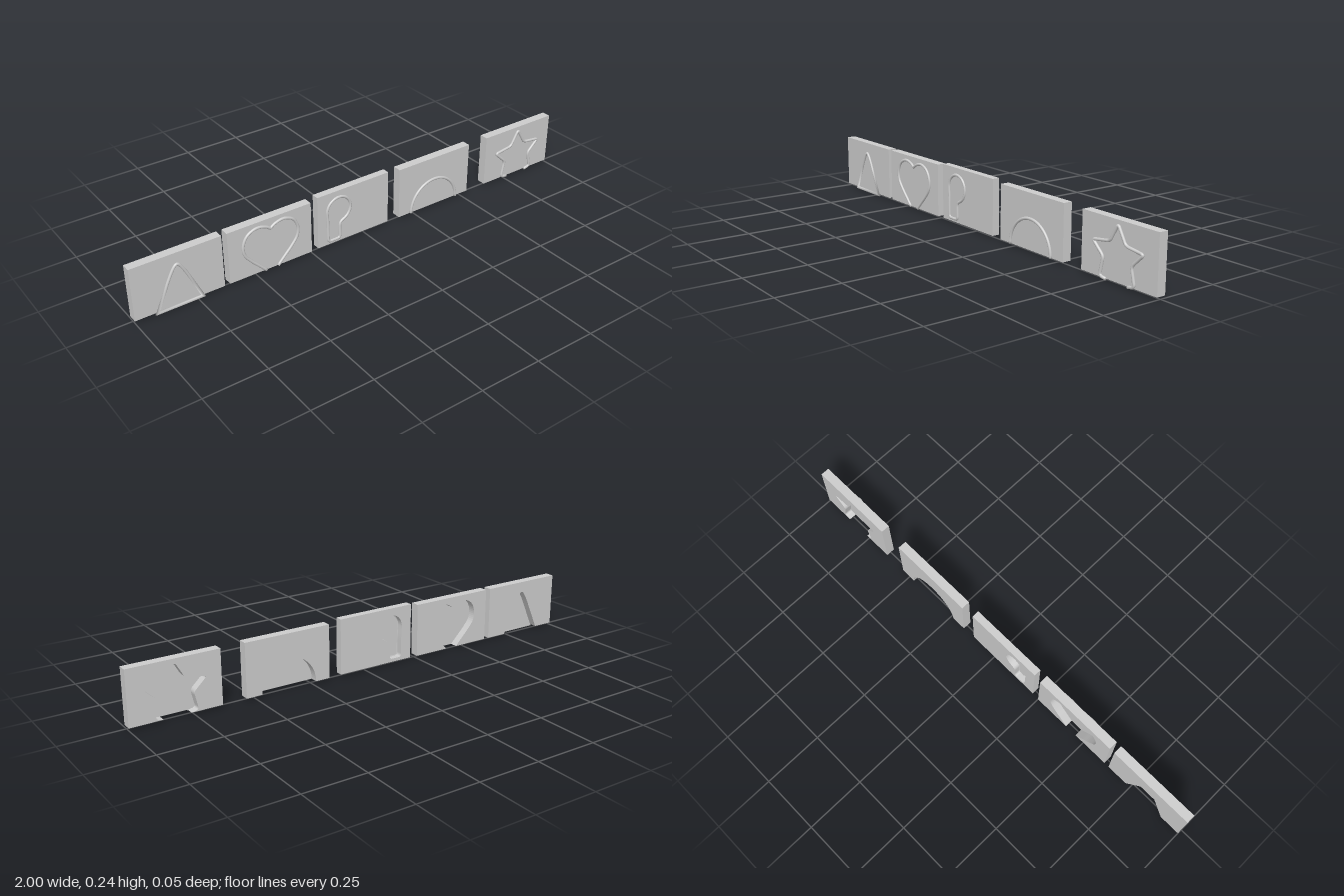
import * as THREE from 'three';

const BASE = 0.009; // bottom edge of the panels
const SKIN = 0.005; // thickness of the closed front face
const TRIM = 0.006; // radius of the raised trim
const material = new THREE.MeshStandardMaterial({ color: 0xcccccc });
const v = (x, y) => new THREE.Vector2(x, y);

// Mirrors a left half outline (last point on the axis) and moves it to x = cx
function mirrored(half, cx) {
  const right = half.filter((p) => p.x < -1e-6).map((p) => v(-p.x, p.y)).reverse();
  return [...half, ...right].map((p) => v(p.x + cx, p.y));
}

// Rounds the inner corners of an open polyline
function rounded(points, radius) {
  const out = [points[0]];
  for (let i = 1; i < points.length - 1; i++) {
    const p = points[i];
    const toward = (q) => {
      const d = q.clone().sub(p);
      return d.multiplyScalar(Math.min(radius, d.length() * 0.45) / d.length()).add(p);
    };
    const bend = new THREE.QuadraticBezierCurve(toward(points[i - 1]), p, toward(points[i + 1]));
    out.push(...bend.getPoints(6));
  }
  out.push(points[points.length - 1]);
  return out;
}

// Sweeps a round section along a flat path, with mitred corners
function trimGeometry(path, z, closed) {
  const sides = 10, n = path.length, pos = [], index = [];
  for (let i = 0; i < n; i++) {
    const p = path[i];
    const prev = path[closed ? (i + n - 1) % n : Math.max(i - 1, 0)];
    const next = path[closed ? (i + 1) % n : Math.min(i + 1, n - 1)];
    const a = p.clone().sub(prev).normalize(), b = next.clone().sub(p).normalize();
    const t = a.clone().add(b).normalize();
    const miter = 1 / Math.max(0.5, Math.max(t.dot(a), t.dot(b)));
    for (let j = 0; j < sides; j++) {
      const ang = (j / sides) * Math.PI * 2, c = Math.cos(ang) * TRIM * miter;
      pos.push(p.x - t.y * c, p.y + t.x * c, z + Math.sin(ang) * TRIM);
    }
  }
  for (let i = 0; i < (closed ? n : n - 1); i++) {
    const r0 = i * sides, r1 = ((i + 1) % n) * sides;
    for (let j = 0; j < sides; j++) {
      const k = (j + 1) % sides;
      index.push(r0 + j, r0 + k, r1 + j, r0 + k, r1 + k, r1 + j);
    }
  }
  if (!closed) {
    const e = (n - 1) * sides;
    for (let j = 1; j < sides - 1; j++) index.push(0, j + 1, j, e, e + j, e + j + 1);
  }
  const g = new THREE.BufferGeometry();
  g.setAttribute('position', new THREE.Float32BufferAttribute(pos, 3));
  g.setIndex(index);
  g.computeVertexNormals();
  return g;
}

// Outlines run from left to right; open ones end on the bottom edge
function triangleOutline() {
  return rounded(mirrored([v(-0.092, BASE), v(-0.026, 0.155), v(0, 0.192)], -0.82), 0.04);
}

function heartOutline() {
  const half = [
    [-0.026, BASE], [-0.058, 0.042], [-0.09, 0.075], [-0.115, 0.11], [-0.119, 0.15],
    [-0.1, 0.188], [-0.06, 0.206], [-0.022, 0.199], [0, 0.185],
  ].map(([x, y]) => new THREE.Vector3(x, y, 0));
  const smooth = new THREE.CatmullRomCurve3(half).getPoints(40).map((p) => v(p.x, p.y));
  return mirrored(smooth, -0.433);
}

function keyholeOutline() {
  const points = [v(-0.145, 0.022), v(-0.173, 0.022), v(-0.173, 0.1)];
  for (let i = 0; i <= 24; i++) {
    const a = Math.PI - (i / 24) * Math.PI * 1.33;
    points.push(v(-0.121 + Math.cos(a) * 0.055, 0.152 + Math.sin(a) * 0.055));
  }
  points.push(v(-0.117, 0.092), v(-0.117, 0.022), v(-0.144, 0.022));
  return rounded(points, 0.015);
}

function archOutline() {
  return Array.from({ length: 41 }, (_, i) => {
    const a = Math.PI * (1 - i / 40);
    return v(0.353 + Math.cos(a) * 0.118, BASE + Math.sin(a) * 0.121);
  });
}

function starOutline() {
  const half = [
    [-0.054, BASE], [-0.084, 0.014], [-0.068, 0.085], [-0.122, 0.136],
    [-0.038, 0.147], [0, 0.214],
  ].map(([x, y]) => v(x, y));
  return rounded(mirrored(half, 0.815), 0.014);
}

function makePanel({ name, x0, x1, top, back, front, outline, hole, base, trimZ }) {
  const group = new THREE.Group();
  group.name = name + 'Panel';
  const add = (part, geometry) => {
    const mesh = new THREE.Mesh(geometry, material);
    mesh.name = name + part;
    group.add(mesh);
  };

  // Thick body, cut through by the outline
  const corners = [v(x1, BASE), v(x1, top), v(x0, top)];
  const shape = new THREE.Shape([v(x0, BASE), ...(hole ? [] : outline), ...corners]);
  if (hole) shape.holes.push(new THREE.Path(outline));
  const body = new THREE.ExtrudeGeometry(shape, { depth: front - SKIN - back, bevelEnabled: false });
  body.translate(0, 0, back);
  add('Body', body);

  // Thin front face closing the pocket
  const face = new THREE.BoxGeometry(x1 - x0, top - BASE, SKIN);
  face.translate((x0 + x1) / 2, (top + BASE) / 2, front - SKIN / 2);
  add('Face', face);

  // Raised trim around the outline
  const path = base ? outline.map((p) => v(p.x, Math.max(p.y - 0.003, TRIM))) : outline;
  add('Trim', trimGeometry(path, trimZ, Boolean(hole || base)));
  return group;
}

export function createModel() {
  const model = new THREE.Group();
  model.name = 'shapePanels';
  const normal = { top: 0.228, back: -0.021, front: 0.016, trimZ: 0.0175 };
  const panels = [
    { ...normal, name: 'triangle', x0: -1, x1: -0.637, outline: triangleOutline(), base: true },
    { ...normal, name: 'heart', x0: -0.615, x1: -0.252, outline: heartOutline() },
    {
      name: 'keyhole', x0: -0.22, x1: 0.118, top: 0.236, back: -0.018, front: 0.0125,
      trimZ: 0.0125, outline: keyholeOutline(), hole: true,
    },
    { ...normal, name: 'arch', x0: 0.173, x1: 0.537, outline: archOutline() },
    { ...normal, name: 'star', x0: 0.635, x1: 1, outline: starOutline(), trimZ: 0.0185 },
  ];
  for (const panel of panels) model.add(makePanel(panel));
  return model;
}
